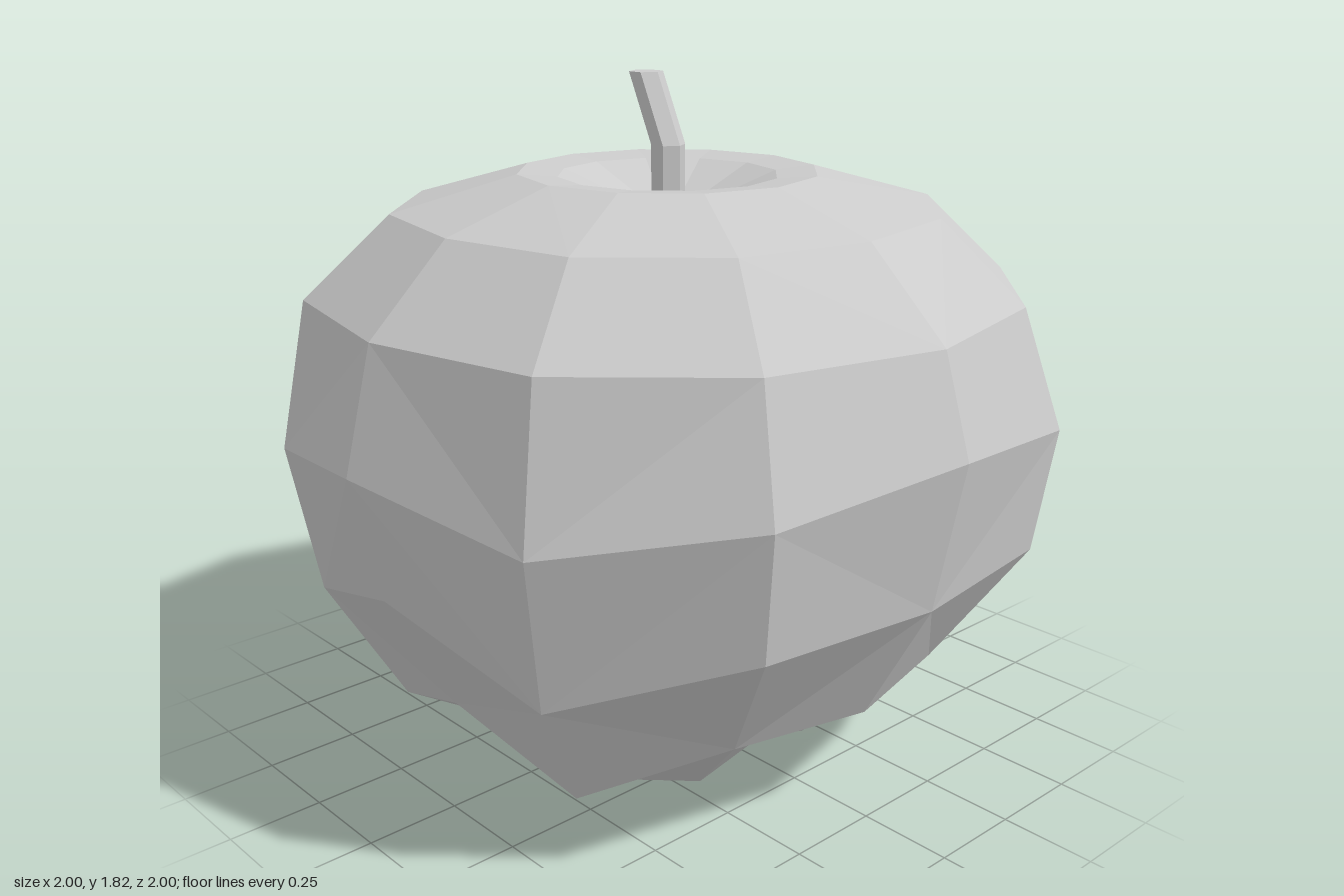
import * as THREE from 'three';

const material = new THREE.MeshStandardMaterial({ color: 0xcccccc, flatShading: true });

// Skin stacked rings (arrays of [x, y, z]) from bottom to top.
// flipped: bands whose alternating diagonals run the other way.
function loft(rings, flipped = []) {
  const pos = [];
  const n = rings[0].length;
  const tri = (a, b, c) => {
    const same = (p, q) => p.every((v, k) => Math.abs(v - q[k]) < 1e-6);
    if (!same(a, b) && !same(b, c) && !same(a, c)) pos.push(...a, ...b, ...c);
  };
  for (let j = 0; j < rings.length - 1; j++) {
    for (let i = 0; i < n; i++) {
      const k = (i + 1) % n;
      const a = rings[j][i], b = rings[j][k], c = rings[j + 1][k], d = rings[j + 1][i];
      if ((i % 2 === 0) !== flipped.includes(j)) {
        tri(a, b, c);
        tri(a, c, d);
      } else {
        tri(a, b, d);
        tri(b, c, d);
      }
    }
  }
  const g = new THREE.BufferGeometry();
  g.setAttribute('position', new THREE.Float32BufferAttribute(pos, 3));
  g.computeVertexNormals();
  return g;
}

// Ring of n points, starting at +z and turning towards +x
function ring(n, radius, height, z = 0) {
  return Array.from({ length: n }, (_, i) => {
    const t = (i / n) * Math.PI * 2;
    return [radius(i) * Math.sin(t), height(i), z + radius(i) * Math.cos(t)];
  });
}

export function createModel() {
  const group = new THREE.Group();

  // Fruit body: radius and height at 0, 30, 60 and 90 degrees, mirrored around
  const fold = [0, 1, 2, 3, 2, 1];
  const all = (v) => [v, v, v, v];
  const profile = [
    [all(0), all(0.02)], // underside centre
    [[0.4, 0.395, 0.395, 0.4], [0.1, 0, 0, 0.1]], // feet
    [[0.73, 0.74, 0.74, 0.73], [0.29, 0.29, 0.145, 0.29]],
    [[0.92, 0.985, 0.945, 0.92], [0.63, 0.63, 0.48, 0.63]],
    [[1, 1.035, 1.02, 1], [1.02, 0.96, 0.88, 0.96]], // widest
    [[0.92, 0.93, 0.945, 0.92], all(1.27)],
    [[0.69, 0.71, 0.72, 0.7], all(1.48)],
    [all(0.395), all(1.57)], // rim
    [all(0.29), all(1.56)],
    [all(0.12), all(1.49)], // stem hollow
    [all(0), all(1.4)],
  ];
  const rings = profile.map(([r, y]) => ring(12, (i) => r[fold[i % 6]], (i) => y[fold[i % 6]]));
  const body = new THREE.Mesh(loft(rings, [2]), material);
  body.name = 'fruitBody';
  group.add(body);

  // Six-sided stem, straight at the root and bent backwards above
  const stemPath = [
    [0, 1.39, 0],
    [0.045, 1.39, 0],
    [0.045, 1.635, 0],
    [0.045, 1.815, -0.085],
    [0, 1.815, -0.085],
  ];
  const stem = new THREE.Mesh(loft(stemPath.map(([r, y, z]) => ring(6, () => r, () => y, z))), material);
  stem.name = 'stem';
  group.add(stem);

  return group;
}
